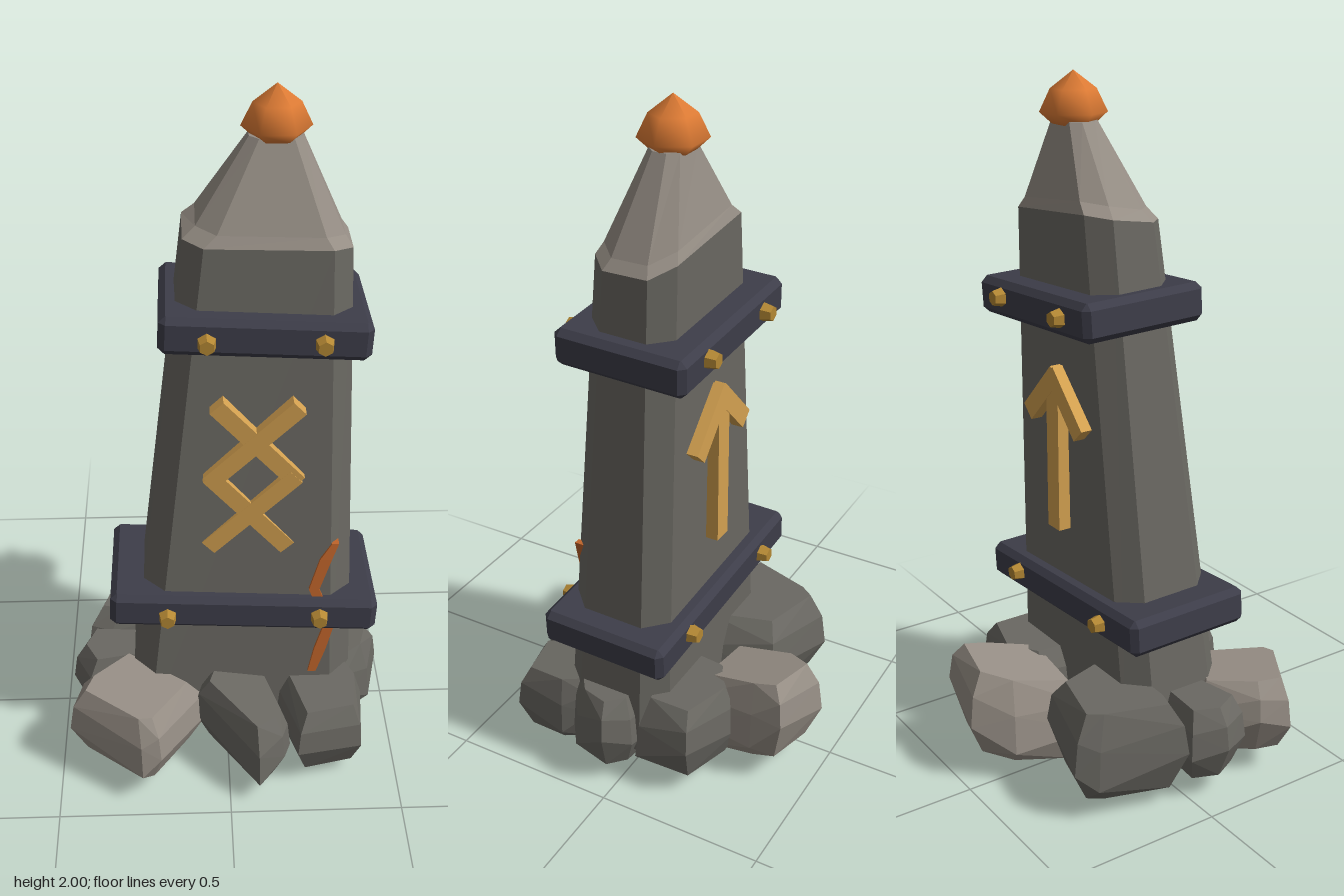
import * as THREE from 'three';
import { ConvexGeometry } from 'three/addons/geometries/ConvexGeometry.js';

const mat = (name, color) => {
  const m = new THREE.MeshStandardMaterial({ color });
  m.name = name;
  return m;
};

// Give every face its own normal
function flat(geometry) {
  const g = geometry.index ? geometry.toNonIndexed() : geometry;
  g.computeVertexNormals();
  return g;
}

// Chamfered rectangle, counterclockwise seen from above
function octagon(x0, x1, z0, z1, c, y, lift = []) {
  return [
    [x0 + c, z1], [x1 - c, z1], [x1, z1 - c], [x1, z0 + c],
    [x1 - c, z0], [x0 + c, z0], [x0, z0 + c], [x0, z1 - c],
  ].map(([x, z], i) => new THREE.Vector3(x, y + (lift[i] || 0), z));
}

// Skin a stack of rings and close both ends
function loft(rings) {
  const pts = [], n = rings[0].length;
  for (let r = 0; r < rings.length - 1; r++) {
    const a = rings[r], b = rings[r + 1];
    for (let i = 0; i < n; i++) {
      const j = (i + 1) % n;
      pts.push(a[i], a[j], b[j], a[i], b[j], b[i]);
    }
  }
  const lo = rings[0], hi = rings[rings.length - 1];
  for (let i = 1; i < n - 1; i++) pts.push(lo[0], lo[i + 1], lo[i], hi[0], hi[i], hi[i + 1]);
  return flat(new THREE.BufferGeometry().setFromPoints(pts));
}

// Box with bevelled edges
function bevelBox(w, h, d, b) {
  const ring = (inset, c, y) => octagon(inset - w / 2, w / 2 - inset, inset - d / 2, d / 2 - inset, c, y);
  return loft([ring(b, 0.002, -h / 2), ring(0, b, b - h / 2), ring(0, b, h / 2 - b), ring(b, 0.002, h / 2)]);
}

// Chiselled boulder from a footprint of [x, z] points, sloping along x and z
function boulder(foot, y0, y1, tiltX = 0, tiltZ = 0) {
  const cx = foot.reduce((s, p) => s + p[0], 0) / foot.length;
  const cz = foot.reduce((s, p) => s + p[1], 0) / foot.length;
  const pts = [];
  for (const [s, t, uneven] of [[0.74, 0, 0], [1, 0.35, 0.18], [0.93, 0.72, 0.1], [0.72, 1, 0]])
    foot.forEach(([x, z], i) => {
      const dx = (x - cx) * s, dz = (z - cz) * s;
      const h = (y1 - y0) * (t + uneven * Math.sin(i * 2.2));
      pts.push(new THREE.Vector3(cx + dx, y0 + h + tiltX * dx + tiltZ * dz, cz + dz));
    });
  return flat(new ConvexGeometry(pts));
}

export function createModel() {
  const stone = mat('dark stone', 0x6a6862);
  const paleStone = mat('pale stone', 0x968e85);
  const iron = mat('dark iron', 0x3d3d49);
  const gold = mat('rune gold', 0xd4a150);
  const brass = mat('rivet brass', 0xb48834);
  const ember = mat('ember crystal', 0xdf7c35);
  const rust = mat('ember crack', 0xc0642a);

  const model = new THREE.Group();
  model.name = 'runeStone';
  const add = (name, geometry, material, parent = model) => {
    const mesh = new THREE.Mesh(geometry, material);
    mesh.name = name;
    parent.add(mesh);
    return mesh;
  };
  const group = (name) => {
    const g = new THREE.Group();
    g.name = name;
    model.add(g);
    return g;
  };

  // Leaning tapered pillar and its pointed cap
  const lift = [0.005, -0.005, -0.02, -0.02, 0.01, 0.04, 0.03, 0.01];
  const shoulder = octagon(-0.115, 0.332, -0.13, 0.11, 0.055, 1.61, lift);
  add('pillar', loft([octagon(-0.302, 0.373, -0.111, 0.23, 0.065, 0.1), shoulder]), stone);
  add('cap', loft([
    shoulder,
    octagon(-0.08, 0.312, -0.12, 0.095, 0.055, 1.64, lift),
    octagon(0.06, 0.2, -0.08, 0.01, 0.025, 1.87),
  ]), paleStone);

  // Six-sided crystal on the tip
  const gemProfile = [[0, 1.84], [0.06, 1.86], [0.093, 1.89], [0.063, 1.952], [0, 2]]
    .map(([r, y]) => new THREE.Vector2(r, y));
  add('crystal', new THREE.LatheGeometry(gemProfile, 6, Math.PI / 6), ember)
    .position.set(0.132, 0, -0.036);

  // Iron bands with rivets on front and back
  const bands = [
    { name: 'upperBand', at: [0.1, 1.38, -0.01], w: 0.565, lean: -0.03, rivets: [-0.055, 0.253] },
    { name: 'lowerBand', at: [0.046, 0.51, 0.035], w: 0.775, lean: -0.02, rivets: [-0.175, 0.265] },
  ];
  const bandDepth = 0.39, bandTilt = -0.055;
  for (const b of bands) {
    const g = group(b.name);
    g.position.set(...b.at);
    add('hoop', bevelBox(b.w, 0.108, bandDepth, 0.018), iron, g).rotation.set(b.lean, 0, bandTilt);
    for (const x of b.rivets) for (const side of [1, -1]) {
      const rivet = add('rivet', flat(new THREE.CylinderGeometry(0.021, 0.03, 0.04, 6)), brass, g);
      const dx = x - b.at[0];
      rivet.position.set(dx, dx * Math.tan(bandTilt) * 0.5, side * (bandDepth / 2 + 0.01));
      rivet.rotation.x = side * Math.PI / 2;
    }
  }

  // Straight bar between two points on a vertical plane
  const stroke = (parent, [x0, y0], [x1, y1], z, width, depth) => {
    const bar = add('stroke', new THREE.BoxGeometry(width, Math.hypot(x1 - x0, y1 - y0), depth), gold, parent);
    bar.position.set((x0 + x1) / 2, (y0 + y1) / 2, z);
    bar.rotation.z = Math.atan2(x0 - x1, y1 - y0);
  };

  // Front rune: two crosses sharing a diamond
  const frontRune = group('frontRune');
  [
    [[-0.03, 1.185], [0.195, 0.94]], [[0.195, 1.18], [-0.05, 0.945]],
    [[-0.05, 0.965], [0.17, 0.72]], [[0.19, 0.96], [-0.055, 0.725]],
  ].forEach(([a, b], i) => stroke(frontRune, a, b, 0.16 + (i % 2) * 0.001, 0.05, 0.046));

  // Back rune: upright arrow
  const backRune = group('backRune');
  stroke(backRune, [0.07, 0.72], [0.07, 1.18], -0.134, 0.06, 0.045);
  for (const s of [-1, 1])
    stroke(backRune, [0.07 - s * 0.014, 1.19], [0.07 + s * 0.132, 1.04], -0.135, 0.055, 0.045);

  // Jagged glowing crack down the front edge
  const crackPath = [[0.25, 0.29, 0.211, 0.012], [0.272, 0.37, 0.206, 0.017], [0.298, 0.46, 0.199, 0.015],
    [0.25, 0.58, 0.189, 0.015], [0.282, 0.68, 0.18, 0.017], [0.308, 0.73, 0.173, 0.01]];
  add('crack', loft(crackPath.map(([x, y, z, r]) =>
    [[-r, 0.012], [r, 0.012], [r, -0.03], [-r, -0.03]]
      .map(([dx, dz]) => new THREE.Vector3(x + dx, y, z + dz)))), rust);

  // Ring of boulders around and under the foot
  const rocks = group('boulders');
  const rock = (name, material, foot, ...shape) => add(name, boulder(foot, ...shape), material, rocks);
  rock('backRock', paleStone, [[0.025, -0.475], [0.23, -0.435], [0.235, -0.34], [0.2, -0.11],
    [-0.07, -0.12], [-0.05, -0.37]], 0.055, 0.32, 0.15, -0.27);
  rock('backRightRock', stone, [[-0.31, -0.335], [-0.06, -0.27], [0.02, 0],
    [-0.36, -0.01], [-0.43, -0.03], [-0.35, -0.28]], 0.055, 0.325);
  rock('rightRock', stone, [[-0.43, -0.02], [-0.15, 0], [-0.12, 0.12],
    [-0.42, 0.18], [-0.47, 0.08]], 0.07, 0.29);
  rock('frontRightRock', paleStone, [[-0.47, 0.31], [-0.44, 0.22], [-0.3, 0.07], [-0.06, 0.23],
    [-0.2, 0.45], [-0.255, 0.46]], 0.07, 0.295, -0.1);
  rock('frontRock', stone, [[-0.1, 0.25], [-0.05, 0.09], [0.09, 0.08], [0.18, 0.35],
    [0.16, 0.41], [0.085, 0.47]], 0.06, 0.27, -0.15, -0.1);
  rock('frontLeftRock', stone, [[0.12, 0.13], [0.37, 0.12], [0.41, 0.2], [0.39, 0.37],
    [0.2, 0.41]], 0.05, 0.265, 0, -0.1);
  rock('leftRock', stone, [[0.4, -0.04], [0.47, 0.02], [0.44, 0.13], [0.36, 0.19],
    [0.14, 0.13], [0.16, -0.05]], 0.055, 0.29, 0.06);
  rock('backLeftRock', stone, [[0.2, -0.28], [0.4, -0.22], [0.4, -0.05],
    [0.06, 0], [0.08, -0.2]], 0.06, 0.3);

  return model;
}
